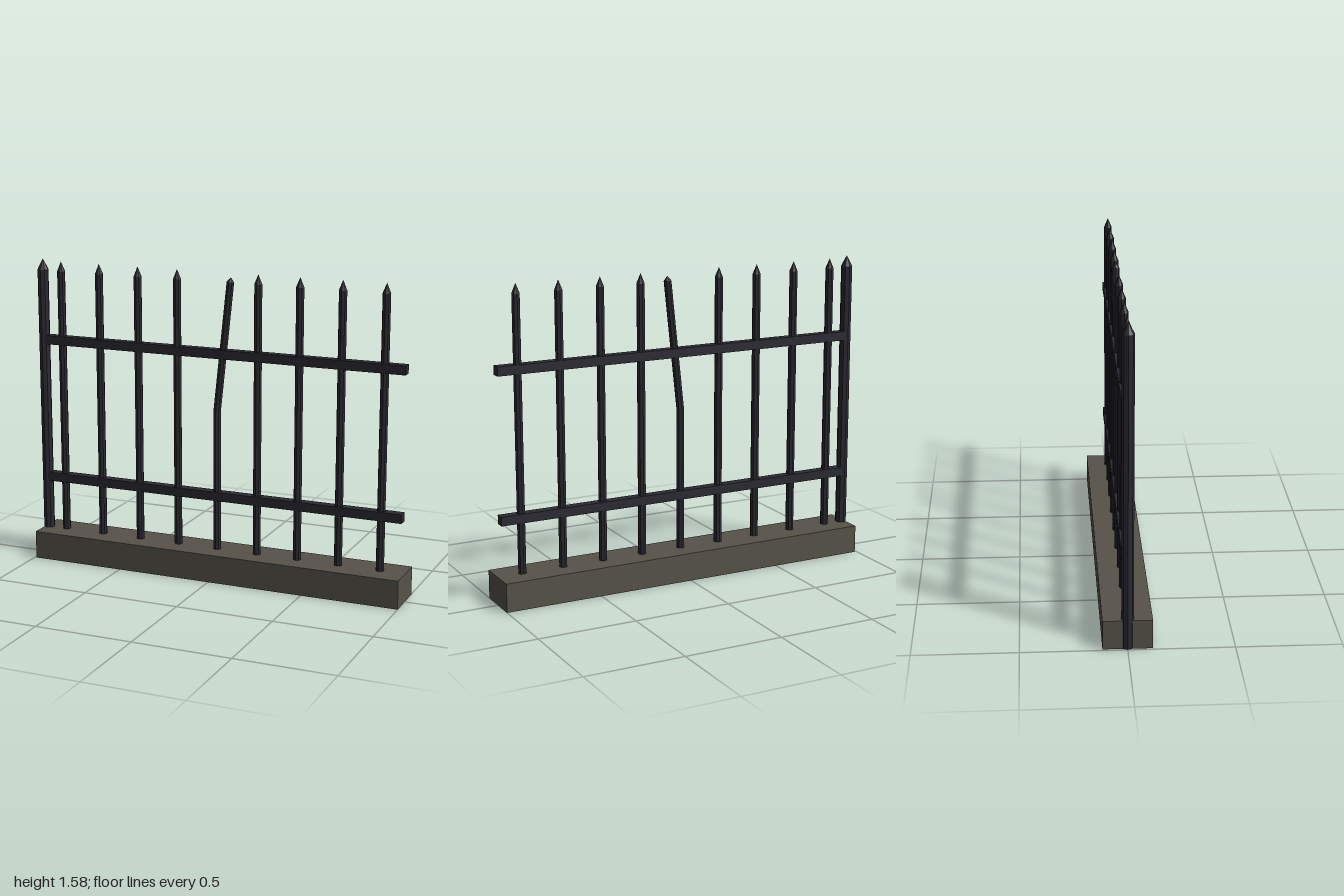
import * as THREE from 'three';

const stone = new THREE.MeshStandardMaterial({ name: 'weathered stone', color: 0x57534a, flatShading: true });
const iron = new THREE.MeshStandardMaterial({ name: 'dark iron', color: 0x2a2a32, flatShading: true });

function mesh(name, geometry, material, x, y, z = 0) {
  const m = new THREE.Mesh(geometry, material);
  m.name = name;
  m.position.set(x, y, z);
  return m;
}

// Eight-sided bar standing on its own origin, with a pointed tip
function spikedBar(name, radius, height, tipHeight, tipRadius = radius) {
  const bar = new THREE.Group();
  bar.name = name;
  bar.add(mesh('shaft', new THREE.CylinderGeometry(radius, radius, height, 8), iron, 0, height / 2));
  if (tipHeight) {
    const tip = new THREE.ConeGeometry(tipRadius, tipHeight, 8);
    bar.add(mesh('tip', tip, iron, 0, height + tipHeight / 2));
  }
  return bar;
}

export function createModel() {
  const fence = new THREE.Group();
  fence.name = 'bentFence';

  // Stone plinth
  fence.add(mesh('base', new THREE.BoxGeometry(1.99, 0.145, 0.234), stone, 0.005, 0.0725));

  // Heavy end post, on one side only
  const post = spikedBar('endPost', 0.029, 1.525, 0.055);
  post.position.x = -0.971;
  fence.add(post);

  // Horizontal rails
  for (const [name, y] of [['lowerRail', 0.427], ['upperRail', 1.161]]) {
    fence.add(mesh(name, new THREE.BoxGeometry(1.95, 0.046, 0.048), iron, 0.005, y));
  }

  // Evenly spaced pickets; the middle one is bent
  for (let i = 0; i < 9; i++) {
    const x = 0.002 + (i - 4) * 0.217;
    if (i === 4) {
      const lower = spikedBar('bentPicketLower', 0.02, 0.87, 0);
      lower.position.x = x;
      const upper = spikedBar('bentPicketUpper', 0.02, 0.655, 0.025);
      upper.position.set(x, 0.87, 0);
      upper.rotation.z = -0.107;
      fence.add(lower, upper);
    } else {
      const picket = spikedBar('picket', 0.021, 1.42, 0.05);
      picket.position.set(x, 0.1, 0);
      fence.add(picket);
    }
  }
  return fence;
}
